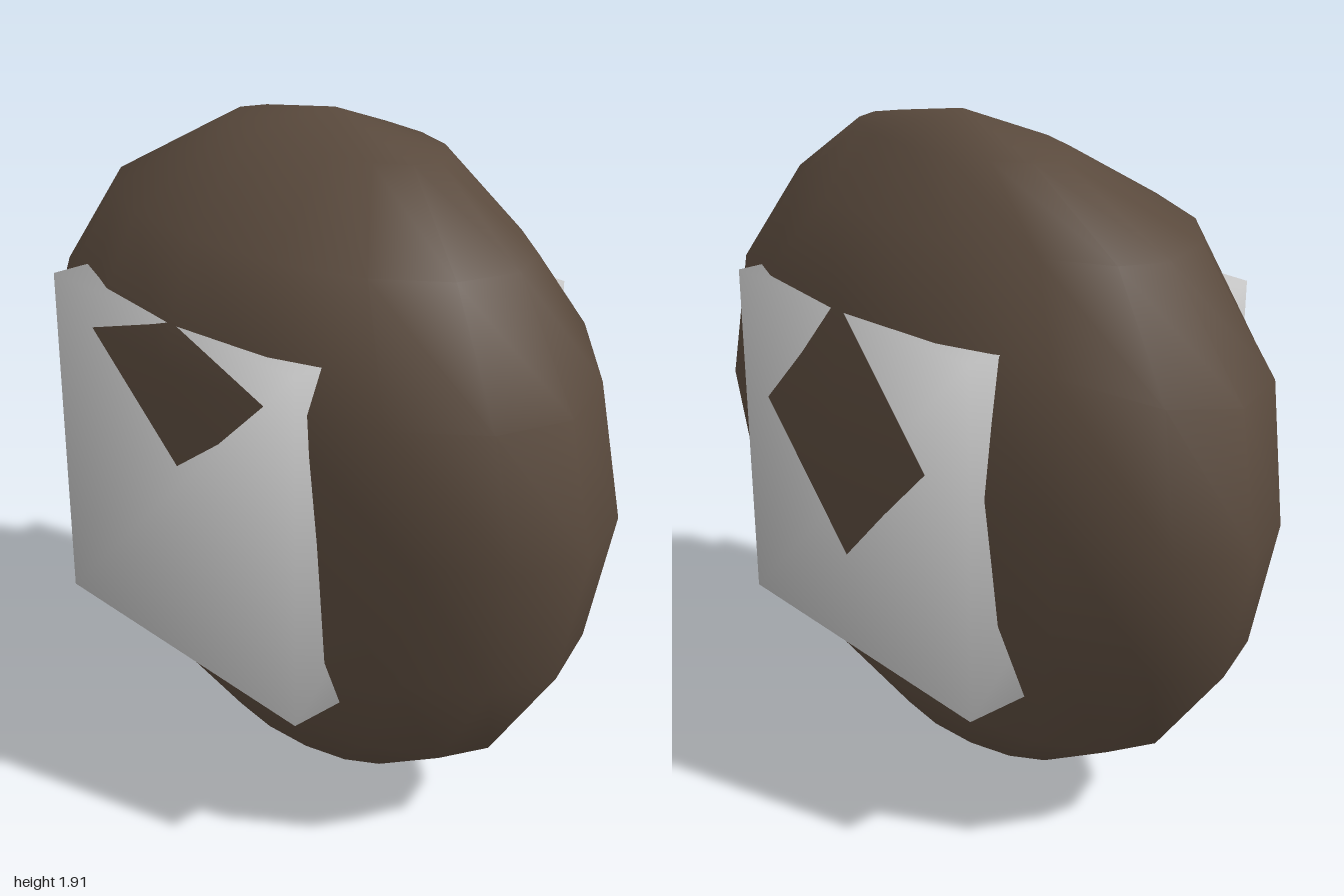
import * as THREE from 'three';
import { mergeVertices } from 'three/addons/utils/BufferGeometryUtils.js';

// Join shared corners so the normals run smoothly over the whole surface
function smooth(geometry) {
  geometry.deleteAttribute('uv');
  geometry.deleteAttribute('normal');
  const merged = mergeVertices(geometry, 0.0005);
  merged.computeVertexNormals();
  return merged;
}

// One entry per ring of the boulder, from the top down
const rings = [
  // y, right-hand -x edge, middle, left-hand +x edge, lift of each edge
  { y: 1.91, lo: 0.07, mid: 0.07, hi: 0.07, loLift: 0, hiLift: 0 },
  { y: 1.84, lo: -0.11, mid: 0.07, hi: 0.26, loLift: 0, hiLift: 0 },
  { y: 1.65, lo: -0.42, mid: 0.02, hi: 0.35, loLift: 0.01, hiLift: 0.01 },
  { y: 1.34, lo: -0.53, mid: 0.0, hi: 0.49, loLift: 0, hiLift: 0.14 },
  { y: 0.98, lo: -0.48, mid: 0.02, hi: 0.525, loLift: 0, hiLift: 0.13 },
  { y: 0.61, lo: -0.46, mid: 0.01, hi: 0.49, loLift: 0.01, hiLift: 0.14 },
  { y: 0.29, lo: -0.37, mid: 0.0, hi: 0.34, loLift: 0.05, hiLift: 0 },
  { y: 0.08, lo: -0.18, mid: 0.0, hi: 0.19, loLift: 0, hiLift: 0 },
  { y: 0, lo: 0, mid: 0, hi: 0, loLift: 0, hiLift: 0 },
];

// Flattened, lopsided sphere
function boulderGeometry() {
  const columns = 16;
  const geometry = new THREE.SphereGeometry(1, columns, rings.length - 1);
  const p = geometry.attributes.position;
  for (let i = 0; i < p.count; i++) {
    const row = Math.floor(i / (columns + 1));
    const r = rings[row];
    const radius = Math.sin((row / (rings.length - 1)) * Math.PI);
    const angle = ((i % (columns + 1)) / columns) * Math.PI * 2;
    const side = -Math.cos(angle);
    const z = radius * Math.sin(angle);
    const edge = side > 0 ? r.hi : r.lo;
    const lift = side > 0 ? r.hiLift : r.loLift;
    p.setXYZ(
      i,
      r.mid + (edge - r.mid) * Math.abs(side),
      r.y + lift * Math.min(1, side * side * 1.15),
      z + 0.03 * (1 - z ** 4)
    );
  }
  return smooth(geometry);
}

export function createModel() {
  const brown = new THREE.MeshStandardMaterial({ color: 0x5a4a3d });
  brown.name = 'earthBrown';
  const grey = new THREE.MeshStandardMaterial({ color: 0xcccccc });
  grey.name = 'lightGrey';

  const model = new THREE.Group();
  model.name = 'boulderWithBlock';

  const boulder = new THREE.Mesh(boulderGeometry(), brown);
  boulder.name = 'boulder';
  model.add(boulder);

  // Cube buried in the boulder, showing on both flanks
  const block = new THREE.Mesh(smooth(new THREE.BoxGeometry(0.98, 0.98, 0.98)), grey);
  block.name = 'block';
  block.position.y = 0.96;
  model.add(block);

  return model;
}
